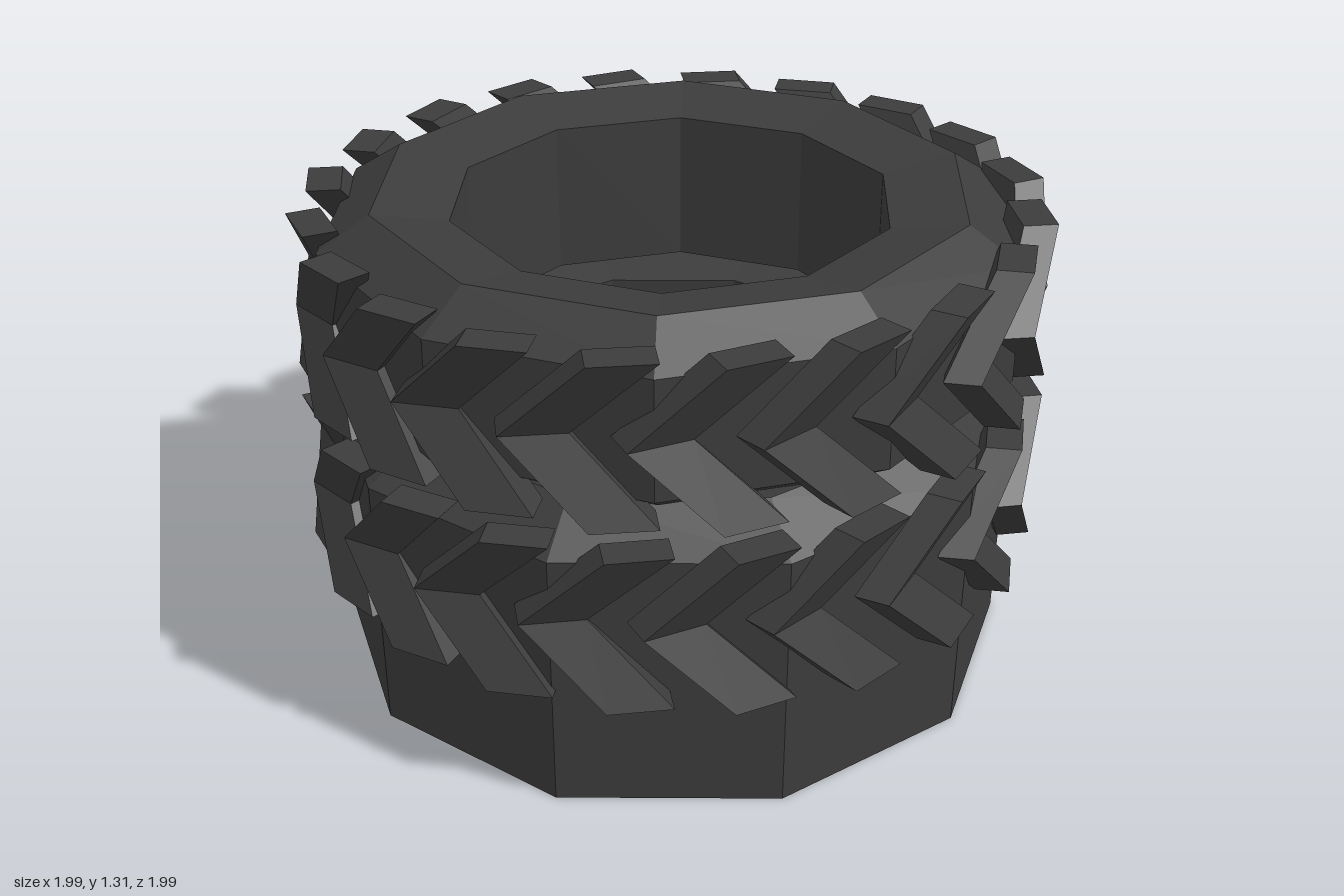
import * as THREE from 'three';

const deg = Math.PI / 180;

export function createModel() {
  const root = new THREE.Group();
  root.name = 'stackedTyres';
  const rubber = new THREE.MeshStandardMaterial({ color: 0x3c3c3c, flatShading: true, side: THREE.DoubleSide });
  rubber.name = 'darkRubber';

  const SIDES = 10, BARS = 20;

  // Faceted tyre body turned from a [radius, height] profile
  function body(name, profile, startDeg) {
    const pts = profile.map(([r, y]) => new THREE.Vector2(r, y));
    const mesh = new THREE.Mesh(new THREE.LatheGeometry(pts, SIDES, startDeg * deg), rubber);
    mesh.name = name;
    return mesh;
  }

  // One slanted tread bar: a box sheared sideways and rolled so that its leading
  // edge (-x) stands proud; dir is +1 above, -1 below the centre line
  function barGeometry(dir) {
    const width = 0.155, height = 0.215, depth = 0.085;
    const g = new THREE.BoxGeometry(width, height, depth);
    const p = g.attributes.position;
    for (let i = 0; i < p.count; i++) {
      const across = p.getX(i), y = p.getY(i), below = depth / 2 - p.getZ(i);
      const t = (dir * y) / height + 0.5; // 0 at the chevron tip, 1 at the outer end
      p.setXYZ(i,
        across - 0.4 * below - 0.08 + 0.22 * t,
        y + (dir * height) / 2,
        0.945 + 0.02 * t - 0.38 * across - below);
    }
    g.computeVertexNormals();
    return g;
  }
  const upperBar = barGeometry(1), lowerBar = barGeometry(-1);

  // Ring of chevrons around a tyre
  function treads(name, y, startDeg) {
    const ring = new THREE.Group();
    ring.name = name;
    ring.position.y = y;
    for (let i = 0; i < BARS; i++) {
      const chevron = new THREE.Group();
      chevron.name = 'treadChevron';
      chevron.rotation.y = (startDeg + (i * 360) / BARS) * deg;
      for (const [n, g] of [['upperTreadBar', upperBar], ['lowerTreadBar', lowerBar]]) {
        const bar = new THREE.Mesh(g, rubber);
        bar.name = n;
        chevron.add(bar);
      }
      ring.add(chevron);
    }
    return ring;
  }

  // Upper tyre, closed all round with shallow dished sidewalls
  root.add(body('upperTyre', [
    [0.587, 0.85], [0.79, 0.81], [0.93, 0.9], [0.93, 1.22], [0.79, 1.31], [0.587, 1.27], [0.587, 0.85],
  ], 25.6));
  root.add(treads('upperTreads', 1.06, -4.6));

  // Lower tyre with a long skirt and inner sleeve, open underneath
  root.add(body('lowerTyre', [
    [0.925, 0], [0.935, 0.71], [0.79, 0.81], [0.587, 0.77], [0.587, 0.135],
  ], 9.6));
  root.add(treads('lowerTreads', 0.553, -2.6));

  return root;
}
